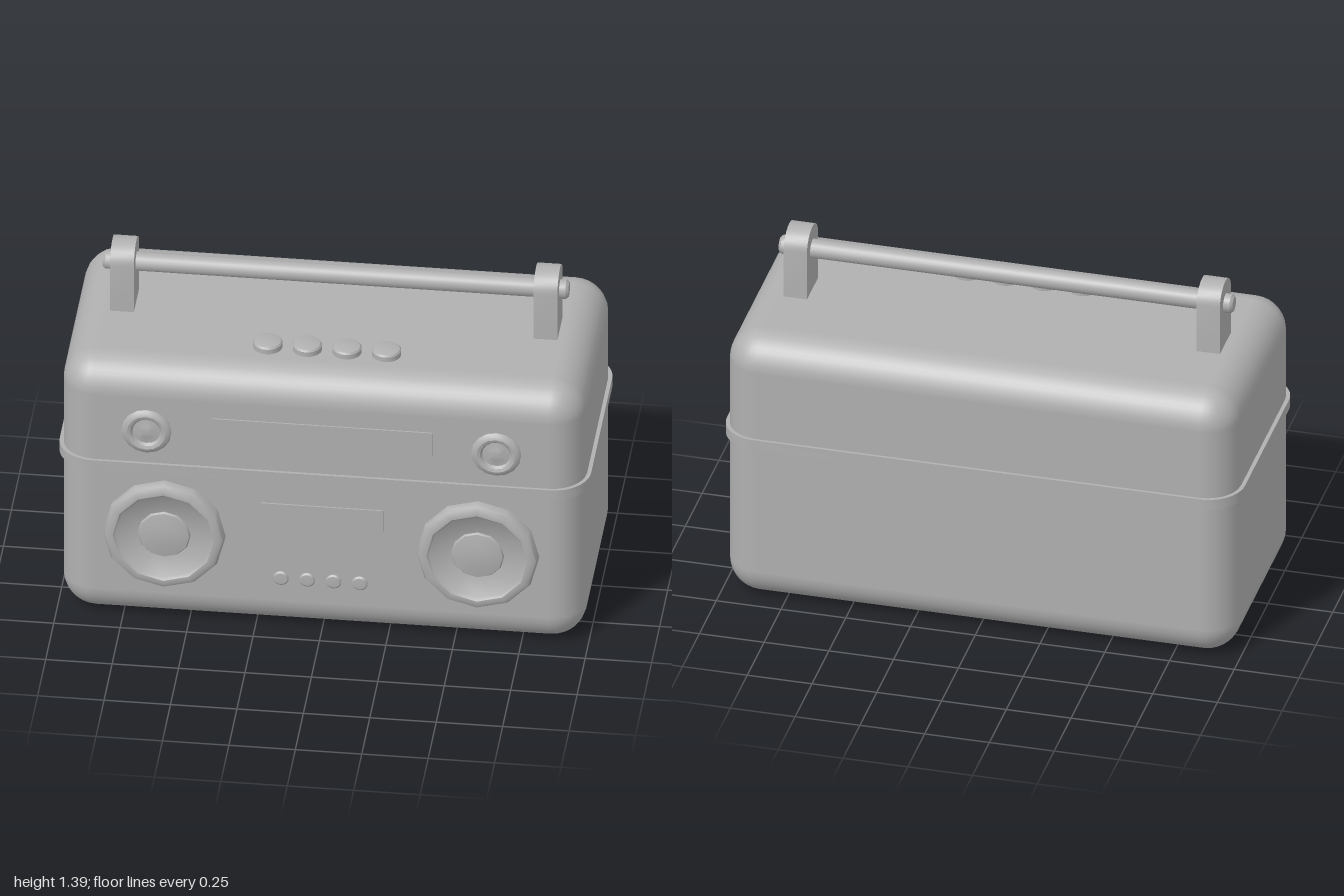
import * as THREE from 'three';
import { toCreasedNormals } from 'three/addons/utils/BufferGeometryUtils.js';
import { RoundedBoxGeometry } from 'three/addons/geometries/RoundedBoxGeometry.js';

const FRONT = 0.44, TOP = 1.12, MID_Z = -0.015;

export function createModel() {
  const root = new THREE.Group();
  root.name = 'portableRadio';
  const grey = new THREE.MeshStandardMaterial({ color: 0xb0b0b0 });
  grey.name = 'plain grey';

  const add = (name, geometry, x, y, z, parent = root) => {
    const mesh = new THREE.Mesh(geometry, grey);
    mesh.name = name;
    mesh.position.set(x, y, z);
    parent.add(mesh);
    return mesh;
  };
  // Profile is [radius, height] from the outer base to the centre
  const turned = (profile, sides) => toCreasedNormals(
    new THREE.LatheGeometry(profile.map(p => new THREE.Vector2(...p)), sides), 0.6);

  // Case
  add('case', new RoundedBoxGeometry(1.97, TOP, 0.91, 4, 0.13), 0, TOP / 2, MID_Z);

  // Raised band around the case
  const w = 1, d = 0.466, r = 0.14;
  const outline = new THREE.Shape();
  outline.moveTo(w, -d + r);
  outline.absarc(w - r, d - r, r, 0, Math.PI / 2);
  outline.absarc(-w + r, d - r, r, Math.PI / 2, Math.PI);
  outline.absarc(-w + r, -d + r, r, Math.PI, Math.PI * 1.5);
  outline.absarc(w - r, -d + r, r, Math.PI * 1.5, Math.PI * 2);
  const band = new THREE.ExtrudeGeometry(outline, { depth: 0.042, bevelEnabled: false, curveSegments: 6 });
  band.rotateX(-Math.PI / 2);
  add('band', toCreasedNormals(band, 0.6), 0, 0.664, MID_Z);

  // Speakers: rounded rim, sloping cone and centre cap
  const woofer = turned([[0.23, -0.02], [0.23, 0.018], [0.222, 0.034], [0.205, 0.043], [0.19, 0.043],
    [0.18, 0.034], [0.1, 0.014], [0.095, 0.022], [0.05, 0.03], [0, 0.032]], 12).rotateX(Math.PI / 2);
  const tweeter = turned([[0.094, -0.02], [0.094, 0.004], [0.085, 0.014], [0.072, 0.018], [0.06, 0.014],
    [0.052, 0.003], [0.046, 0.003], [0.025, 0.01], [0, 0.012]], 16).rotateX(Math.PI / 2);
  for (const side of [-1, 1]) {
    add('speaker', woofer, side * 0.59, 0.4, FRONT);
    add('tweeter', tweeter, side * 0.658, 0.846, FRONT);
  }

  // Display strip and cassette window
  add('tuningDisplay', new THREE.BoxGeometry(0.83, 0.1, 0.02), 0.003, 0.872, FRONT - 0.004);
  add('cassetteWindow', new THREE.BoxGeometry(0.466, 0.096, 0.02), 0.002, 0.513, FRONT - 0.004);

  // Buttons on the front and the top
  const frontButton = turned([[0.03, -0.02], [0.03, 0.002], [0.024, 0.007], [0, 0.009]], 16).rotateX(Math.PI / 2);
  const topButton = turned([[0.055, -0.02], [0.055, 0.02], [0.05, 0.027], [0.04, 0.03], [0, 0.03]], 20);
  for (let i = 0; i < 4; i++) {
    add('frontButton', frontButton, -0.152 + i * 0.099, 0.23, FRONT);
    add('topButton', topButton, -0.227 + i * 0.149, TOP, 0.229);
  }

  // Carrying handle: two arched brackets and a bar
  const handle = new THREE.Group();
  handle.name = 'handle';
  handle.position.z = -0.025;
  root.add(handle);
  const arch = new THREE.Shape();
  arch.moveTo(-0.082, 0);
  arch.lineTo(0.082, 0);
  arch.lineTo(0.082, 0.22);
  arch.absellipse(0, 0.22, 0.082, 0.07, 0, Math.PI);
  arch.closePath();
  const bracket = new THREE.ExtrudeGeometry(arch, { depth: 0.09, bevelEnabled: false, curveSegments: 6 });
  bracket.translate(0, 0, -0.045).rotateY(Math.PI / 2);
  const bracketGeometry = toCreasedNormals(bracket, 0.6);
  for (const side of [-1, 1]) add('handleBracket', bracketGeometry, side * 0.797, 1.1, 0, handle);
  const bar = turned([[0, -0.876], [0.028, -0.876], [0.037, -0.866], [0.037, 0.866],
    [0.028, 0.876], [0, 0.876]], 16).rotateZ(Math.PI / 2);
  add('handleBar', bar, 0, 1.296, 0, handle);

  return root;
}
